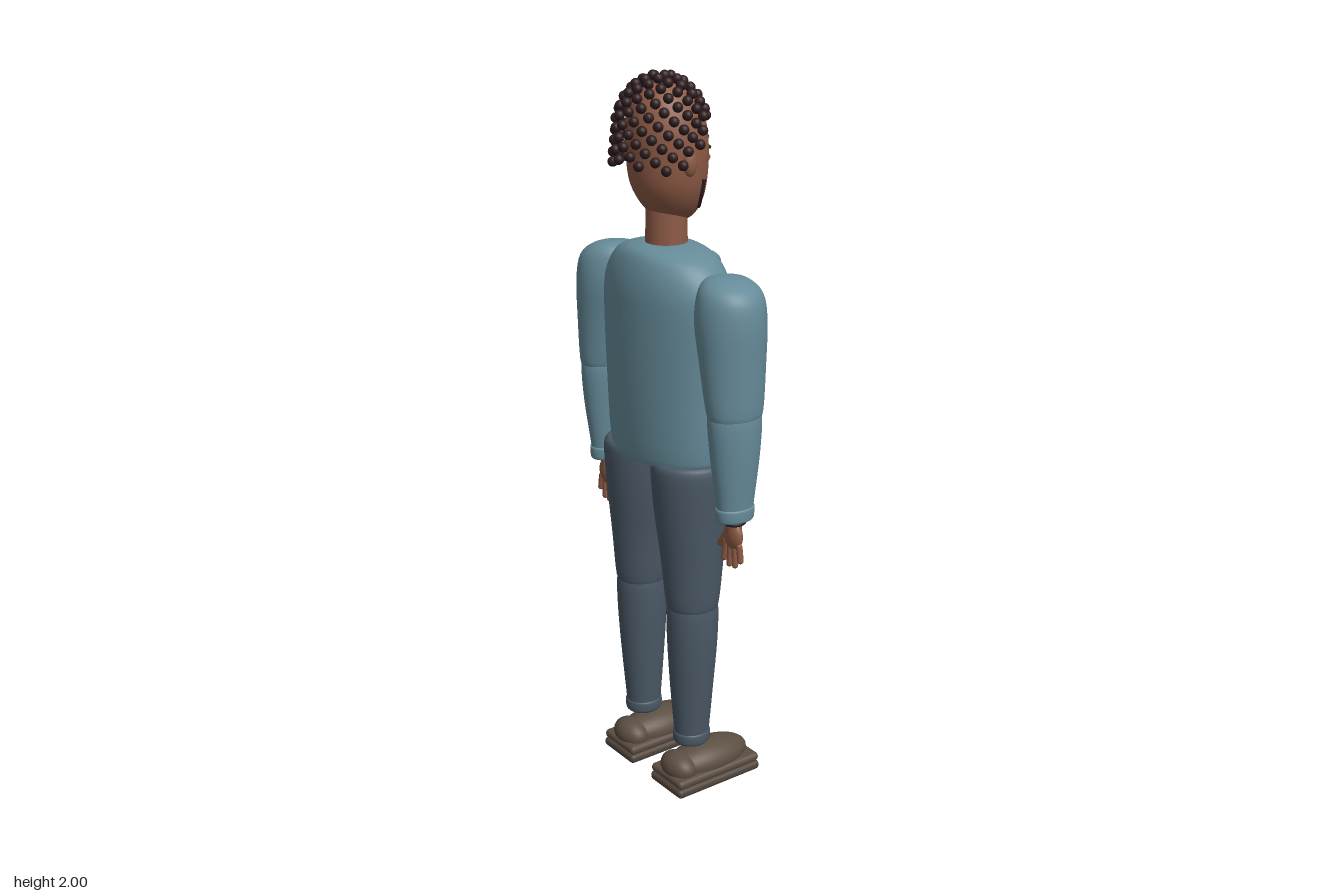
import * as THREE from 'three';
import { RoundedBoxGeometry } from 'three/addons/geometries/RoundedBoxGeometry.js';

const mat = (name, color) => Object.assign(new THREE.MeshStandardMaterial({ color }), { name });

// Rings are [y, centreX, centreZ, radiusX, radiusZ], listed from top to bottom
const HEAD = [
  [1.965, 0, 0.024, 0.025, 0.025], [1.955, 0, 0.024, 0.05, 0.052], [1.92, 0, 0.022, 0.082, 0.084],
  [1.86, 0, 0.02, 0.104, 0.102], [1.79, 0, 0.017, 0.109, 0.105], [1.72, 0, 0.015, 0.103, 0.1],
  [1.67, 0, 0.008, 0.085, 0.085], [1.63, 0, 0, 0.055, 0.06], [1.61, 0, -0.005, 0.025, 0.03],
];
const TORSO = [
  [1.557, 0, 0.025, 0.06, 0.06], [1.547, 0, 0.025, 0.115, 0.092], [1.52, 0, 0.02, 0.172, 0.115],
  [1.46, 0, 0.018, 0.213, 0.131], [1.38, 0, 0.016, 0.222, 0.137], [1.2, 0, 0.017, 0.211, 0.135],
  [1.0, 0, 0.018, 0.2, 0.124], [0.975, 0, 0.018, 0.17, 0.105], [0.96, 0, 0.018, 0.08, 0.05],
];
const UPPER_ARM = [
  [1.513, 0.24, 0.015, 0.02, 0.025], [1.503, 0.25, 0.015, 0.055, 0.06], [1.47, 0.265, 0.016, 0.083, 0.085],
  [1.4, 0.27, 0.017, 0.09, 0.094], [1.3, 0.279, 0.017, 0.078, 0.09], [1.17, 0.291, 0.017, 0.061, 0.08],
  [1.15, 0.292, 0.017, 0.05, 0.068],
];
const FOREARM = [
  [1.175, 0.291, 0.017, 0.045, 0.06], [1.155, 0.291, 0.017, 0.058, 0.077], [1.05, 0.293, 0.016, 0.053, 0.071],
  [0.92, 0.293, 0.014, 0.04, 0.055], [0.875, 0.293, 0.014, 0.036, 0.051],
];
const THIGH = [
  [0.99, 0.11, 0.018, 0.095, 0.1], [0.965, 0.111, 0.018, 0.107, 0.113], [0.85, 0.112, 0.019, 0.1, 0.105],
  [0.7, 0.117, 0.02, 0.083, 0.088], [0.57, 0.12, 0.021, 0.07, 0.075], [0.55, 0.12, 0.021, 0.058, 0.062],
];
const SHIN = [
  [0.575, 0.12, 0.021, 0.055, 0.06], [0.555, 0.12, 0.021, 0.068, 0.073], [0.45, 0.12, 0.021, 0.068, 0.071],
  [0.3, 0.118, 0.021, 0.058, 0.061], [0.17, 0.117, 0.02, 0.047, 0.051], [0.135, 0.117, 0.02, 0.045, 0.049],
];

// Smooth closed skin through elliptical rings
function loft(rings, seg = 40, sub = 4) {
  const spline = new THREE.CubicInterpolant(rings.map((_, i) => i), rings.flat(), 5, []);
  const pos = [], idx = [], n = (rings.length - 1) * sub;
  for (let i = 0; i <= n; i++) {
    const [y, cx, cz, rx, rz] = spline.evaluate(i / sub);
    for (let j = 0; j < seg; j++) {
      const a = (j / seg) * Math.PI * 2;
      pos.push(cx + rx * Math.cos(a), y, cz + rz * Math.sin(a));
    }
  }
  for (let i = 0; i < n; i++) for (let j = 0; j < seg; j++) {
    const a = i * seg + j, b = i * seg + (j + 1) % seg;
    idx.push(a, b, a + seg, b, b + seg, a + seg);
  }
  const first = rings[0], last = rings.at(-1), c = (n + 1) * seg;
  pos.push(first[1], first[0], first[2], last[1], last[0], last[2]);
  for (let j = 0; j < seg; j++) {
    const k = (j + 1) % seg;
    idx.push(c, k, j, c + 1, n * seg + j, n * seg + k);
  }
  const g = new THREE.BufferGeometry();
  g.setAttribute('position', new THREE.Float32BufferAttribute(pos, 3));
  g.setIndex(idx);
  g.computeVertexNormals();
  return g;
}

// Point on the face side (-z) of a lofted shape
function onSurface(rings, x, y, lift = 0.001) {
  let i = 0;
  while (i < rings.length - 2 && rings[i + 1][0] > y) i++;
  const t = (rings[i][0] - y) / (rings[i][0] - rings[i + 1][0]);
  const [cx, cz, rx, rz] = [1, 2, 3, 4].map(k => THREE.MathUtils.lerp(rings[i][k], rings[i + 1][k], t));
  const u = (x - cx) / rx;
  return new THREE.Vector3(x, y, cz - rz * Math.sqrt(Math.max(0, 1 - u * u)) - lift);
}

const strand = (points, r) => new THREE.TubeGeometry(new THREE.CatmullRomCurve3(points), 16, r, 8);
const drawn = (rings, pts, r) => strand(pts.map(([x, y]) => onSurface(rings, x, y)), r);
const ball = (rx, ry, rz) => new THREE.SphereGeometry(1, 28, 18).scale(rx, ry, rz);

export function createModel() {
  const skin = mat('skin', 0x8c5a45), hair = mat('hair', 0x2e1c1e), shirt = mat('shirt', 0x668b99);
  const trousers = mat('trousers', 0x4a5865), shoe = mat('shoe', 0x5c4e42), sole = mat('sole', 0x4f443a);
  const stitch = mat('stitching', 0x34464f), lips = mat('lips', 0x6e3f35), dark = mat('dark', 0x1c1a1c);
  const model = new THREE.Group();
  model.name = 'standingMan';

  const add = (name, geo, material, x = 0, y = 0, z = 0, parent = model) => {
    const m = new THREE.Mesh(geo, material);
    m.name = name;
    m.position.set(x, y, z);
    parent.add(m);
    return m;
  };

  // Head and neck
  add('head', loft(HEAD), skin);
  add('neck', new THREE.CylinderGeometry(0.054, 0.056, 0.12, 32), skin, 0, 1.595, 0.02);
  add('noseBridge', strand([onSurface(HEAD, 0, 1.815), new THREE.Vector3(0, 1.785, -0.095),
    new THREE.Vector3(0, 1.765, -0.105)], 0.009), skin);
  add('noseTip', ball(0.017, 0.013, 0.018), skin, 0, 1.764, -0.1);
  add('mouth', drawn(HEAD, [[-0.025, 1.704], [0, 1.7], [0.025, 1.704]], 0.005), lips);
  add('moustache', drawn(HEAD, [[-0.035, 1.715], [0, 1.73], [0.035, 1.715]], 0.005), hair);
  add('chinBeard', drawn(HEAD, [[-0.025, 1.655], [0, 1.648], [0.025, 1.655]], 0.007), hair);
  for (const s of [-1, 1]) {
    add('ear', ball(0.014, 0.033, 0.02), skin, s * 0.108, 1.775, 0.025);
    add('nostril', ball(0.009, 0.008, 0.011), skin, s * 0.014, 1.76, -0.091);
    const p = onSurface(HEAD, s * 0.04, 1.798, 0);
    add('eye', ball(0.013, 0.006, 0.004), dark, p.x, p.y, p.z).rotation.y = s * 0.35;
    add('eyebrow', drawn(HEAD, [[s * 0.02, 1.823], [s * 0.04, 1.83], [s * 0.062, 1.822]], 0.004), hair);
    add('jawBeard', drawn(HEAD, [[s * 0.094, 1.73], [s * 0.084, 1.69], [s * 0.06, 1.652]], 0.007), hair);
  }

  // Curls set on a spiral around the scalp, leaving the face clear
  const curls = new THREE.Group();
  curls.name = 'hair';
  model.add(curls);
  const curl = new THREE.SphereGeometry(0.0135, 14, 10);
  const count = 142;
  for (let i = 0; i < count; i++) {
    const h = 1 - 1.6 * (i + 0.5) / count, a = i * 2.39996;
    const r = h > 0 ? 0.127 * Math.sqrt(1 - h * h) : 0.127 - 0.015 * h;
    const y = 1.845 + 0.14 * h, back = Math.sin(a);
    const hairline = 1.75 + 0.12 * THREE.MathUtils.clamp((0.15 - back) / 0.7, 0, 1);
    if (y < hairline) continue;
    add('curl', curl, hair, r * Math.cos(a), y, 0.035 + 0.9 * r * back, curls);
  }

  // Shirt with placket, pocket and collar
  add('shirtBody', loft(TORSO, 56), shirt);
  add('placket', drawn(TORSO, [[0, 1.52], [0, 1.46], [0, 1.38], [0, 1.2], [0, 1.02]], 0.004), stitch);
  for (let i = 0; i < 5; i++) {
    const p = onSurface(TORSO, -0.012, 1.45 - i * 0.1, 0.001);
    add('button', ball(0.006, 0.006, 0.003), shirt, p.x, p.y, p.z);
  }
  const pocket = [[0.085, 1.385], [0.145, 1.385], [0.145, 1.33], [0.115, 1.315], [0.085, 1.33], [0.085, 1.385]];
  for (let i = 0; i < 5; i++) add('pocketSeam', drawn(TORSO, [pocket[i], pocket[i + 1]], 0.0028), stitch);
  for (const s of [-1, 1]) {
    const p = onSurface(TORSO, s * 0.05, 1.505, -0.008);
    const c = add('collarFlap', ball(0.036, 0.028, 0.012), shirt, p.x, p.y, p.z);
    c.rotation.set(0.6, s * 0.2, s * 0.4);
  }

  // Limbs, built on the +x side and mirrored by negating centre offsets
  for (const s of [1, -1]) {
    const side = rings => rings.map(([y, cx, ...rest]) => [y, s * cx, ...rest]);
    const limb = new THREE.Group();
    limb.name = s > 0 ? 'leftLimbs' : 'rightLimbs';
    model.add(limb);
    const put = (name, geo, m, x = 0, y = 0, z = 0) => add(name, geo, m, s * x, y, z, limb);

    // Sleeve, cuff and elbow creases
    put('upperSleeve', loft(side(UPPER_ARM)), shirt);
    put('lowerSleeve', loft(side(FOREARM)), shirt);
    put('cuff', loft(side([[0.908, 0.293, 0.014, 0.039, 0.054], [0.902, 0.293, 0.014, 0.042, 0.057],
      [0.876, 0.293, 0.014, 0.041, 0.055], [0.87, 0.293, 0.014, 0.036, 0.05]])), shirt);
    for (const y of [1.13, 1.105])
      put('elbowCrease', drawn(side(FOREARM), [-0.025, 0, 0.025].map(d => [s * 0.292 + d, y]), 0.002), stitch);

    // Hand
    put('wrist', new THREE.CylinderGeometry(0.022, 0.021, 0.05, 20), skin, 0.293, 0.862, 0.016);
    put('palm', ball(0.034, 0.04, 0.018), skin, 0.293, 0.825, 0.018);
    for (let f = 0; f < 4; f++) {
      const d = (f - 1.5) * 0.016, len = [0.068, 0.078, 0.075, 0.055][f];
      const finger = put('finger', new THREE.CapsuleGeometry(0.0085, len - 0.017, 5, 12), skin,
        0.293 + d * 1.3, 0.81 - len / 2, 0.02);
      finger.rotation.z = s * d * 6;
    }
    put('thumb', new THREE.CapsuleGeometry(0.0095, 0.045, 5, 12), skin, 0.25, 0.803, 0.016).rotation.z = s * -0.6;

    // Trouser leg
    put('thigh', loft(side(THIGH)), trousers);
    put('shin', loft(side(SHIN)), trousers);
    put('trouserHem', loft(side([[0.17, 0.117, 0.02, 0.046, 0.05], [0.163, 0.117, 0.02, 0.05, 0.054],
      [0.14, 0.117, 0.02, 0.049, 0.053], [0.132, 0.117, 0.02, 0.042, 0.046]])), trousers);
    put('trouserCrease', drawn(side(SHIN), [[s * 0.12, 0.54], [s * 0.12, 0.45], [s * 0.118, 0.3],
      [s * 0.117, 0.2]], 0.002), dark);

    // Shoe
    put('outsole', new RoundedBoxGeometry(0.147, 0.027, 0.29, 4, 0.012), sole, 0.1175, 0.0135, -0.03);
    put('midsole', new RoundedBoxGeometry(0.144, 0.026, 0.286, 4, 0.012), shoe, 0.1175, 0.04, -0.03);
    put('shoeUpper', ball(0.067, 0.053, 0.135), shoe, 0.1175, 0.06, -0.035);
    put('shoeHeel', ball(0.062, 0.042, 0.045), shoe, 0.1175, 0.062, 0.066);
  }

  // Watch strap on the left wrist
  const strap = add('watchStrap', new THREE.TorusGeometry(0.024, 0.005, 8, 28), dark, 0.293, 0.862, 0.016);
  strap.rotation.x = Math.PI / 2;
  add('watchFace', new THREE.CylinderGeometry(0.014, 0.014, 0.008, 20).rotateX(Math.PI / 2), dark, 0.293, 0.862, -0.01);
  return model;
}
